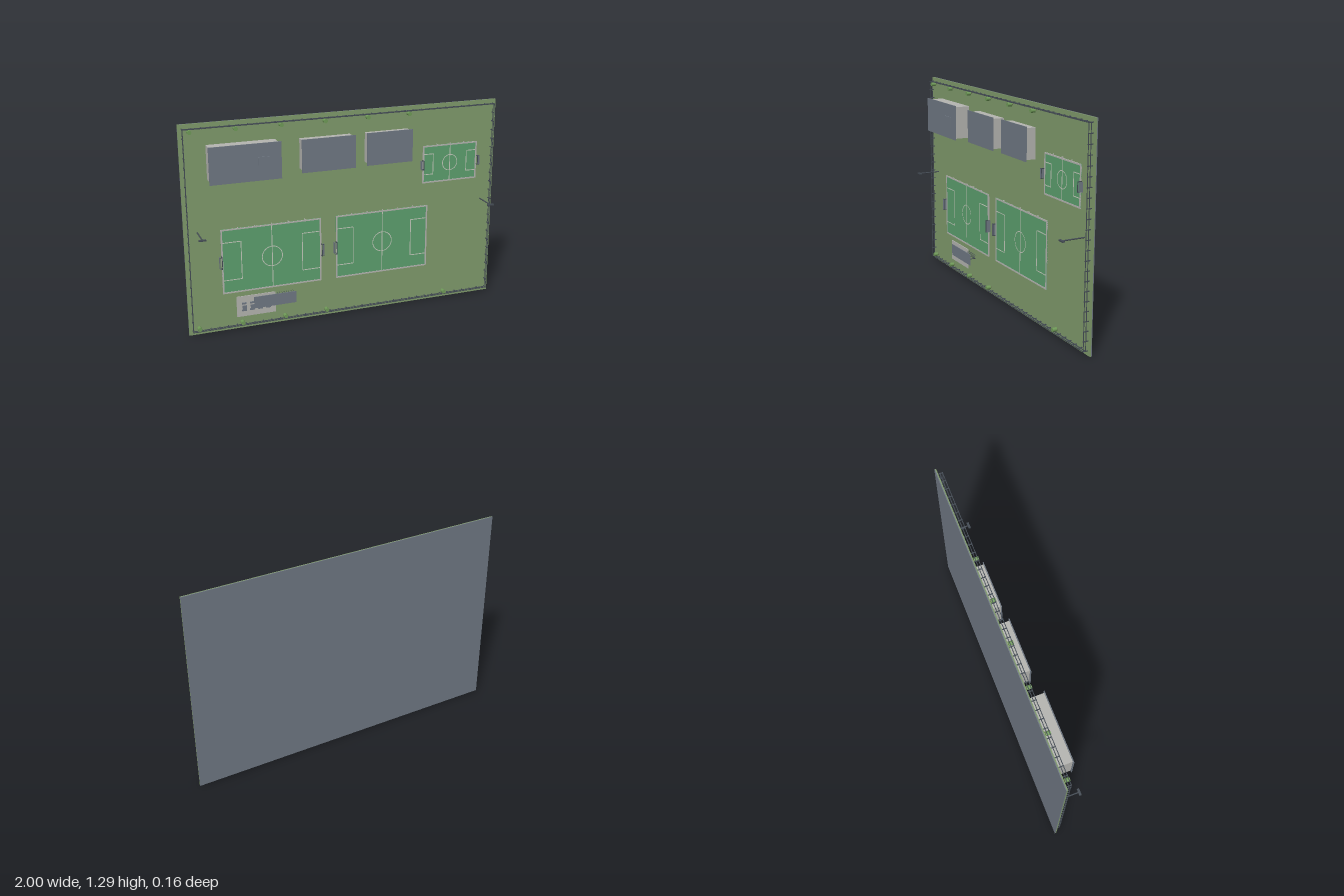
import * as THREE from 'three';

const mat = (name, color) => {
  const m = new THREE.MeshStandardMaterial({ color });
  m.name = name;
  return m;
};

export function createModel() {
  const M = {
    grass: mat('grass', 0x7f9a6b),
    turf: mat('turf', 0x5c9f6e),
    slate: mat('slate', 0x6f7883),
    wall: mat('wall', 0xb4b4b0),
    line: mat('line', 0xc2cabb),
    metal: mat('darkMetal', 0x444c55),
    leaf: mat('leaf', 0x6f9a58),
    trunk: mat('trunk', 0x6a5a48),
  };
  const model = new THREE.Group();
  model.name = 'sportsGround';
  const G = -0.069; // level of the lawn; the ground faces +z

  const group = (name, parent = model) => {
    const g = new THREE.Group();
    g.name = name;
    parent.add(g);
    return g;
  };
  const add = (parent, name, geo, material) => {
    const m = new THREE.Mesh(geo, material);
    m.name = name;
    parent.add(m);
    return m;
  };
  // Box given by its limits on each axis
  const box = (parent, name, material, x0, x1, y0, y1, z0, z1) => {
    const m = add(parent, name, new THREE.BoxGeometry(x1 - x0, y1 - y0, z1 - z0), material);
    m.position.set((x0 + x1) / 2, (y0 + y1) / 2, (z0 + z1) / 2);
    return m;
  };
  // Upright cylinder along z
  const pole = (parent, name, material, x, y, z0, z1, r, sides = 8) => {
    const geo = new THREE.CylinderGeometry(r, r, z1 - z0, sides).rotateX(Math.PI / 2);
    const m = add(parent, name, geo, material);
    m.position.set(x, y, (z0 + z1) / 2);
    return m;
  };

  // Ground
  const ground = group('ground');
  box(ground, 'slab', M.slate, -1, 1, 0, 1.29, -0.08, -0.075);
  box(ground, 'lawn', M.grass, -1, 1, 0, 1.29, -0.075, G);

  // Perimeter fence
  const fence = group('fence');
  const fx = 0.977, fy0 = 0.028, fy1 = 1.264, top = -0.037;
  for (const z of [-0.055, -0.04]) {
    for (const y of [fy0, fy1]) box(fence, 'longRail', M.metal, -fx, fx, y - 0.002, y + 0.002, z - 0.002, z + 0.002);
    for (const x of [-fx, fx]) box(fence, 'sideRail', M.metal, x - 0.0012, x + 0.0012, fy0, fy1, z - 0.002, z + 0.002);
  }
  const nx = 36, ny = 22;
  for (let i = 0; i <= nx; i++) {
    const x = -fx + (2 * fx * i) / nx;
    for (const y of [fy0, fy1]) box(fence, 'post', M.metal, x - 0.0025, x + 0.0025, y - 0.0025, y + 0.0025, G, top);
  }
  for (let i = 1; i < ny; i++) {
    const y = fy0 + ((fy1 - fy0) * i) / ny;
    for (const x of [-fx, fx]) box(fence, 'post', M.metal, x - 0.0025, x + 0.0025, y - 0.0025, y + 0.0025, G, top);
  }

  // Trees along both long edges
  const tree = (x, y) => {
    const t = group('tree');
    pole(t, 'trunk', M.trunk, x, y, G, -0.058, 0.004);
    pole(t, 'crown', M.leaf, x, y, -0.061, -0.033, 0.0125, 12);
  };
  [-0.94, -0.675, -0.405, -0.137, 0.132, 0.4].forEach((x) => tree(x, 1.247));
  [-0.94, -0.675, -0.405, -0.137, 0.668].forEach((x) => tree(x, 0.044));

  // Buildings with overhanging flat roofs
  const building = (x0, x1, y0, y1, h) => {
    const b = group('building');
    box(b, 'walls', M.wall, x0 + 0.009, x1 - 0.009, y0 + 0.009, y1 - 0.009, G, h - 0.004);
    box(b, 'roof', M.slate, x0, x1, y0, y1, h - 0.005, h);
    return b;
  };
  const hall = building(-0.855, -0.43, 0.95, 1.17, 0.034);
  box(hall, 'roofUnit', M.slate, -0.57, -0.495, 1.02, 1.09, 0.034, 0.039);
  building(-0.3, 0.033, 0.96, 1.16, 0.01);
  building(0.112, 0.408, 0.96, 1.16, -0.003);

  // Playing fields
  const goal = (parent, x, y, side, w) => {
    const g = group('goal', parent);
    const back = x + side * 0.013, z = -0.044;
    const xs = [Math.min(x, back), Math.max(x, back)];
    for (const s of [-1, 1]) {
      const yy = y + s * w;
      box(g, 'post', M.metal, x - 0.002, x + 0.002, yy - 0.002, yy + 0.002, G, z);
      box(g, 'topArm', M.metal, xs[0], xs[1], yy - 0.0015, yy + 0.0015, z - 0.003, z);
    }
    box(g, 'crossbar', M.metal, x - 0.002, x + 0.002, y - w, y + w, z - 0.003, z);
    box(g, 'net', M.slate, back - 0.001, back + 0.001, y - w, y + w, G, z);
  };
  const field = (x0, x1, y0, y1, boxDepth, boxHalf, r, goalHalf, goalSides) => {
    const f = group('field');
    const cx = (x0 + x1) / 2, cy = (y0 + y1) / 2, e = 0.009, t = 0.0025;
    const z0 = -0.0655, z1 = -0.0645;
    box(f, 'turf', M.turf, x0, x1, y0, y1, G, z0);
    // Border kerb
    for (const y of [y0, y1 - e]) box(f, 'border', M.wall, x0, x1, y, y + e, G, -0.063);
    for (const x of [x0, x1 - e]) box(f, 'border', M.wall, x, x + e, y0 + e, y1 - e, G, -0.063);
    // Painted markings
    box(f, 'halfwayLine', M.line, cx - t, cx + t, y0 + e, y1 - e, z0, z1);
    const ring = add(f, 'centreCircle', new THREE.RingGeometry(r - t, r + t, 40), M.line);
    ring.position.set(cx, cy, z1);
    for (const s of [-1, 1]) {
      const edge = s < 0 ? x0 + e : x1 - e, inner = edge - s * boxDepth;
      box(f, 'penaltyLine', M.line, inner - t, inner + t, cy - boxHalf, cy + boxHalf, z0, z1);
      for (const k of [-1, 1]) {
        const y = cy + k * boxHalf;
        box(f, 'penaltySide', M.line, Math.min(edge, inner), Math.max(edge, inner), y - t, y + t, z0, z1);
      }
      if (goalSides.includes(s)) goal(f, s < 0 ? x0 : x1, cy, s, goalHalf);
    }
    // Small posts along the upper touchline
    const n = Math.round((x1 - x0) / 0.1);
    for (let i = 1; i < n; i++) {
      const x = x0 + ((x1 - x0) * i) / n;
      box(f, 'sidePost', M.wall, x - 0.002, x + 0.002, y1, y1 + 0.006, G, -0.056);
    }
  };
  field(-0.785, -0.163, 0.238, 0.645, 0.112, 0.119, 0.063, 0.037, [-1, 1]);
  field(-0.067, 0.546, 0.238, 0.645, 0.104, 0.119, 0.063, 0.037, [-1]);
  field(0.507, 0.878, 0.79, 1.03, 0.062, 0.065, 0.05, 0.028, [-1, 1]);

  // Floodlights at both ends
  for (const s of [-1, 1]) {
    const l = group('floodlight');
    pole(l, 'mast', M.metal, s * 0.92, 0.645, G, 0.068, 0.004);
    box(l, 'lampHead', M.metal, s * 0.92 - 0.021, s * 0.92 + 0.021, 0.641, 0.649, 0.066, 0.08);
  }

  // Paved terrace with tables and benches
  const terrace = group('terrace');
  box(terrace, 'paving', M.wall, -0.705, -0.462, 0.075, 0.207, G, -0.064);
  for (const x of [-0.66, -0.61, -0.56, -0.51]) {
    box(terrace, 'tableTop', M.slate, x - 0.013, x + 0.013, 0.126, 0.152, -0.05, -0.047);
    pole(terrace, 'tableLeg', M.metal, x, 0.139, -0.064, -0.05, 0.003);
    for (const y of [0.117, 0.161]) box(terrace, 'bench', M.slate, x - 0.014, x + 0.014, y - 0.005, y + 0.005, -0.064, -0.056);
  }

  // Open shelter with a cycle rack beneath
  const shelter = group('shelter');
  box(shelter, 'shelterRoof', M.slate, -0.607, -0.342, 0.137, 0.21, -0.024, -0.019);
  for (const x of [-0.59, -0.475, -0.36]) pole(shelter, 'column', M.metal, x, 0.173, G, -0.024, 0.003);
  for (let i = 0; i < 8; i++) {
    const hoop = add(shelter, 'rackHoop', new THREE.TorusGeometry(0.014, 0.0015, 5, 12, Math.PI), M.metal);
    hoop.rotation.set(Math.PI / 2, Math.PI / 2, 0, 'YXZ');
    hoop.rotation.set(0, 0, 0);
    hoop.geometry.rotateX(Math.PI / 2).rotateZ(Math.PI / 2);
    hoop.position.set(-0.45 + i * 0.0145, 0.185, G);
  }
  return model;
}
